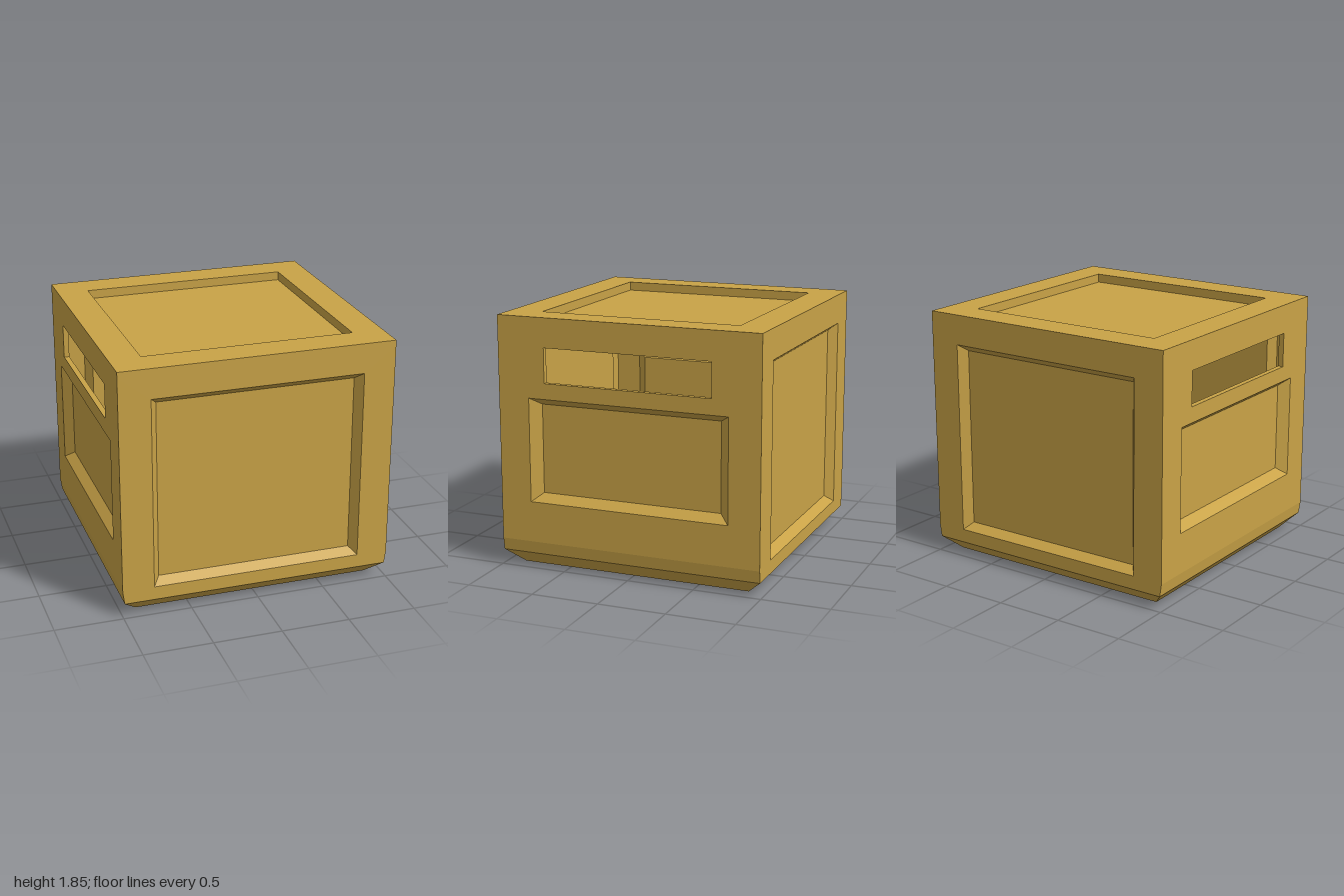
import * as THREE from 'three';

const W = 1, D = 0.99, H = 1.85;   // half width, half depth, height
const T = 0.04, RECESS = 0.065;    // wall thickness, panel recess
const BASE = 0.2;                  // height of the tapered base

const material = new THREE.MeshStandardMaterial({ color: 0xc9a347, flatShading: true });

function mesh(geometry, name) {
  const m = new THREE.Mesh(geometry, material);
  m.name = name;
  return m;
}

// Closed solid through a run of rectangles [x0, x1, y0, y1, z], front cap first
function loftRects(rects) {
  const pos = [], index = [];
  for (const [x0, x1, y0, y1, z] of rects) pos.push(x0, y0, z, x1, y0, z, x1, y1, z, x0, y1, z);
  index.push(0, 1, 2, 0, 2, 3);
  for (let k = 0; k < rects.length - 1; k++) {
    for (let i = 0; i < 4; i++) {
      const a = k * 4 + i, b = k * 4 + (i + 1) % 4;
      index.push(a, a + 4, b + 4, a, b + 4, b);
    }
  }
  const e = (rects.length - 1) * 4;
  index.push(e, e + 2, e + 1, e, e + 3, e + 2);
  const g = new THREE.BufferGeometry();
  g.setAttribute('position', new THREE.Float32BufferAttribute(pos, 3));
  g.setIndex(index);
  const flat = g.toNonIndexed();
  flat.computeVertexNormals();
  return flat;
}

const corners = ([x0, x1, y0, y1]) => [[x0, y0], [x1, y0], [x1, y1], [x0, y1]].map(p => new THREE.Vector2(...p));

// Flat frame with rectangular holes, outer face at z = 0
function frame(outline, holes) {
  const shape = new THREE.Shape(corners(outline));
  for (const h of holes) shape.holes.push(new THREE.Path(corners(h).reverse()));
  return new THREE.ExtrudeGeometry(shape, { depth: T, bevelEnabled: false }).translate(0, 0, -T);
}

// Sunken panel with sloping edges that fills a frame hole
function panel(hole, floor) {
  return loftRects([[...floor, -RECESS], [...hole, 0], [...hole, -T], [...floor, -RECESS - T]]);
}

function wall(name, outline, hole, floor, slots = []) {
  const g = new THREE.Group();
  g.name = name;
  g.add(mesh(frame(outline, [hole, ...slots]), name + 'Frame'));
  g.add(mesh(panel(hole, floor), name + 'Panel'));
  return g;
}

export function createModel() {
  const crate = new THREE.Group();
  crate.name = 'crate';

  // Front and back walls
  for (const s of [1, -1]) {
    const w = wall(s > 0 ? 'frontWall' : 'backWall', [-W, W, BASE, H - T],
      [-0.77, 0.77, 0.21, 1.63], [-0.72, 0.72, 0.26, 1.58]);
    w.position.z = s * D;
    if (s < 0) w.rotation.y = Math.PI;
    crate.add(w);
  }

  // Side walls with handle slots
  for (const s of [1, -1]) {
    const w = wall(s > 0 ? 'leftWall' : 'rightWall', [-D + T, D - T, BASE, H - T],
      [-0.755, 0.755, 0.5, 1.265], [-0.68, 0.68, 0.56, 1.215], [[-0.63, 0.63, 1.38, 1.635]]);
    w.position.x = s * W;
    w.rotation.y = s * Math.PI / 2;
    crate.add(w);
  }

  // Lid with a straight-sided recess
  const lidHole = [-0.77, 0.77, -0.75, 0.75];
  const lid = wall('lid', [-W, W, -D, D], lidHole, lidHole);
  lid.position.y = H;
  lid.rotation.x = -Math.PI / 2;
  crate.add(lid);

  // Tapered tray-shaped base
  const ring = (x, z, y) => [-x, x, -z, z, y];
  const base = mesh(loftRects([
    ring(0.87, 0.86, T), ring(0.95, 0.95, 0.12), ring(W - T, D - T, BASE),
    ring(W, D, BASE), ring(0.987, D, 0.11), ring(0.88, 0.87, 0),
  ]), 'base');
  base.rotation.x = -Math.PI / 2;
  crate.add(base);

  return crate;
}
